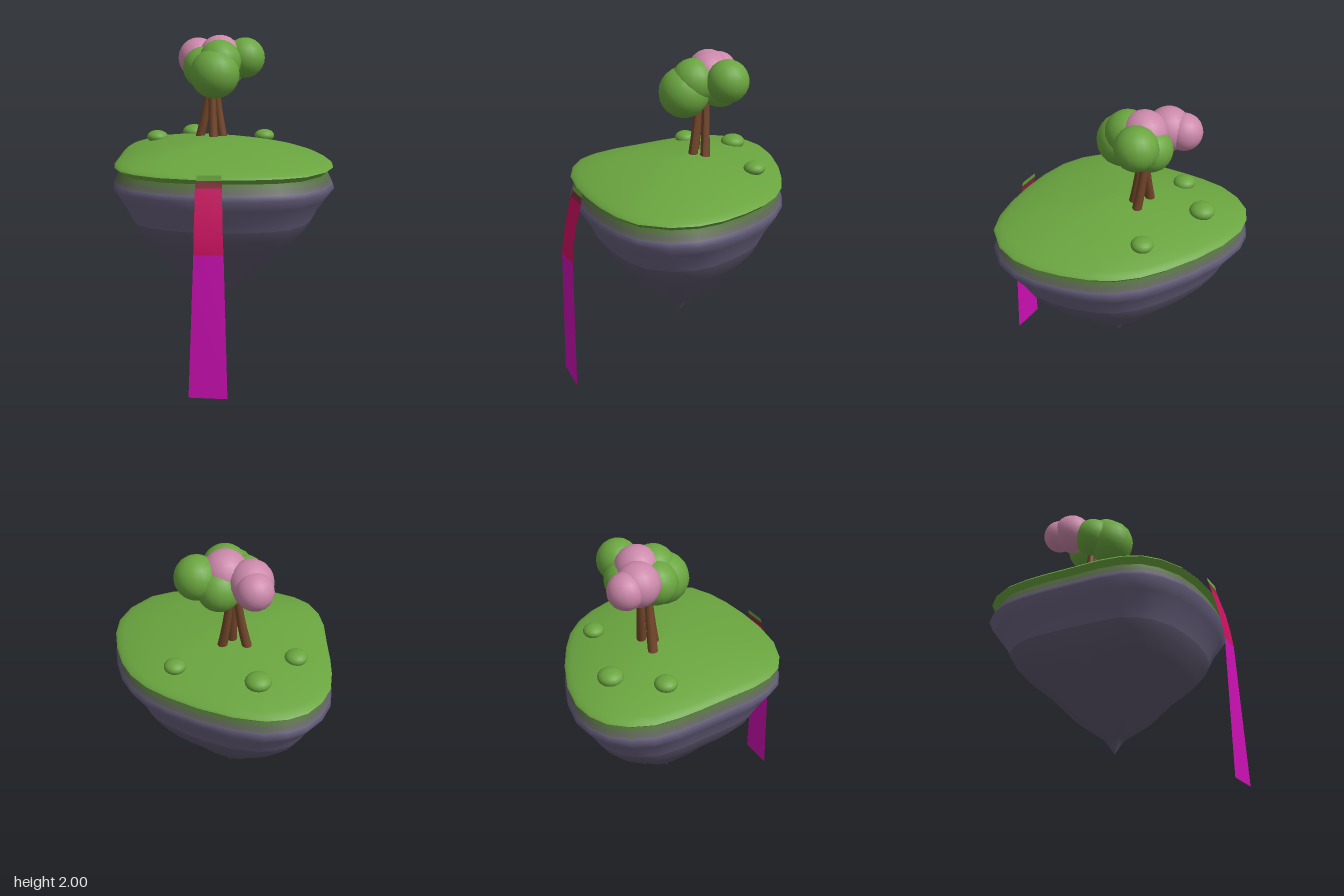
import * as THREE from 'three';

const mat = (name, color, side = THREE.FrontSide) => {
  const m = new THREE.MeshStandardMaterial({ color, side });
  m.name = name;
  return m;
};

// Island outline (x, z), clockwise seen from above
const OUTLINE = [
  [0.03, -0.79], [0.15, -0.77], [0.27, -0.71], [0.40, -0.58], [0.52, -0.40], [0.61, -0.22],
  [0.665, -0.07], [0.685, 0.08], [0.67, 0.22], [0.62, 0.38], [0.55, 0.53], [0.46, 0.65],
  [0.33, 0.74], [0.15, 0.785], [0, 0.755], [-0.15, 0.69], [-0.30, 0.60], [-0.45, 0.49],
  [-0.58, 0.36], [-0.66, 0.22], [-0.69, 0.10], [-0.67, -0.02], [-0.61, -0.15], [-0.51, -0.30],
  [-0.40, -0.47], [-0.32, -0.58], [-0.22, -0.69], [-0.10, -0.76],
];
const CENTRE = [0.02, 0.015];

// Surface through rings of points, top to bottom; one material index per band
function loft(rings, closed, bands) {
  const n = rings[0].length, spans = closed ? n : n - 1;
  const index = [];
  const geo = new THREE.BufferGeometry();
  for (let r = 0; r < rings.length - 1; r++) {
    for (let i = 0; i < spans; i++) {
      const j = (i + 1) % n;
      const a = r * n + i, b = r * n + j, c = a + n, d = b + n;
      index.push(a, b, c, b, d, c);
    }
    if (bands) geo.addGroup(r * spans * 6, spans * 6, bands[r]);
  }
  geo.setAttribute('position', new THREE.Float32BufferAttribute(rings.flat(2), 3));
  geo.setIndex(index);
  geo.computeVertexNormals();
  return geo;
}

// Outline scaled about the centre, for each [scale, y]
const islandRings = (profile) => profile.map(([s, y]) => OUTLINE.map(([x, z]) => [
  CENTRE[0] + (x - CENTRE[0]) * s, y, CENTRE[1] + (z - CENTRE[1]) * s,
]));

export function createModel() {
  const both = THREE.DoubleSide;
  const grass = mat('grass green', 0x6aa53f, both);
  const moss = mat('moss', 0x55713f);
  const mossyRock = mat('mossy rock', 0x5d6458);
  const rock = mat('rock', 0x6a6280);
  const lowRock = mat('lower rock', 0x5d566c);
  const bark = mat('bark', 0x714529);
  const blossom = mat('blossom pink', 0xcb88aa);
  const rust = mat('stream rust', 0x7d3038, both);
  const crimson = mat('stream crimson', 0xcc1060, both);
  const magenta = mat('stream magenta', 0xcb10b2, both);

  const model = new THREE.Group();
  const add = (name, geo, material, parent = model) => {
    const mesh = new THREE.Mesh(geo, material);
    mesh.name = name;
    parent.add(mesh);
    return mesh;
  };

  // Domed lawn and the underside of its lip
  add('lawn', loft(islandRings([
    [0, 1.368], [0.2, 1.363], [0.45, 1.345], [0.65, 1.322], [0.8, 1.3], [0.92, 1.275], [0.97, 1.26], [0.987, 1.247],
  ]), true), grass);
  add('lawnLip', loft(islandRings([[0.987, 1.247], [0.935, 1.213]]), true), grass);

  // Rock body tapering to a point
  add('rock', loft(islandRings([
    [0.935, 1.22], [0.955, 1.187], [0.978, 1.155], [1, 1.122], [0.94, 1.055], [0.87, 0.98], [0.825, 0.91],
    [0.78, 0.845], [0.67, 0.75], [0.51, 0.65], [0.31, 0.49], [0.085, 0.365], [0.045, 0.325], [0, 0.27],
  ]), true, [0, 1, 2, 2, 2, 2, 3, 3, 3, 3, 3, 3, 3]), [moss, mossyRock, rock, lowRock]);

  // Stream falling over the rim: left and right edge at each height
  add('waterfall', loft([
    [[-0.425, 1.28, 0.535], [-0.315, 1.28, 0.612]],
    [[-0.432, 1.25, 0.538], [-0.315, 1.25, 0.618]],
    [[-0.443, 1.21, 0.546], [-0.317, 1.21, 0.626]],
    [[-0.465, 1.07, 0.575], [-0.338, 1.07, 0.662]],
    [[-0.482, 0.95, 0.595], [-0.347, 0.95, 0.682]],
    [[-0.49, 0.85, 0.605], [-0.35, 0.85, 0.695]],
    [[-0.525, 0, 0.602], [-0.345, 0, 0.735]],
  ].map((r) => r.reverse()), false, [0, 1, 2, 2, 2, 3]), [grass, rust, crimson, magenta]);

  // Bent, tapering trunks: foot x, z and top x, z
  const trunks = new THREE.Group();
  trunks.name = 'trunks';
  model.add(trunks);
  const footY = 1.34, height = 0.42;
  for (const [x0, z0, x1, z1] of [
    [0.02, -0.18, 0.07, -0.135], [0.06, -0.072, 0.075, -0.12], [0.14, -0.085, 0.115, -0.14],
  ]) {
    const geo = new THREE.CylinderGeometry(0.02, 0.031, height, 10, 6);
    geo.translate(0, height / 2, 0);
    const p = geo.attributes.position;
    for (let i = 0; i < p.count; i++) {
      const t = p.getY(i) / height, bend = t * (1.6 - 0.6 * t);
      p.setXYZ(i, p.getX(i) + x0 + (x1 - x0) * bend, footY + p.getY(i), p.getZ(i) + z0 + (z1 - z0) * bend);
    }
    geo.computeVertexNormals();
    add('trunk', geo, bark, trunks);
  }

  // Crowns and bushes: x, y, z, radius
  const balls = (name, list, material, squash = 1) => {
    const group = new THREE.Group();
    group.name = name + 's';
    model.add(group);
    for (const [x, y, z, r] of list) {
      const ball = add(name, new THREE.SphereGeometry(r, 18, 12), material, group);
      ball.position.set(x, y, z);
      ball.scale.y = squash;
    }
  };
  balls('leafCrown', [
    [0.03, 1.77, -0.012, 0.155], [0.08, 1.84, -0.035, 0.135], [0.29, 1.855, -0.065, 0.128],
    [0.2, 1.795, -0.155, 0.128], [0.02, 1.8, -0.13, 0.13],
  ], grass);
  balls('blossomCrown', [
    [0.1, 1.845, -0.355, 0.108], [0.066, 1.85, -0.27, 0.13], [0.14, 1.865, -0.125, 0.135],
  ], blossom);
  balls('bush', [
    [-0.165, 1.335, -0.415, 0.069], [0.155, 1.335, -0.48, 0.078], [0.47, 1.335, -0.09, 0.066],
  ], grass, 0.62);

  return model;
}
